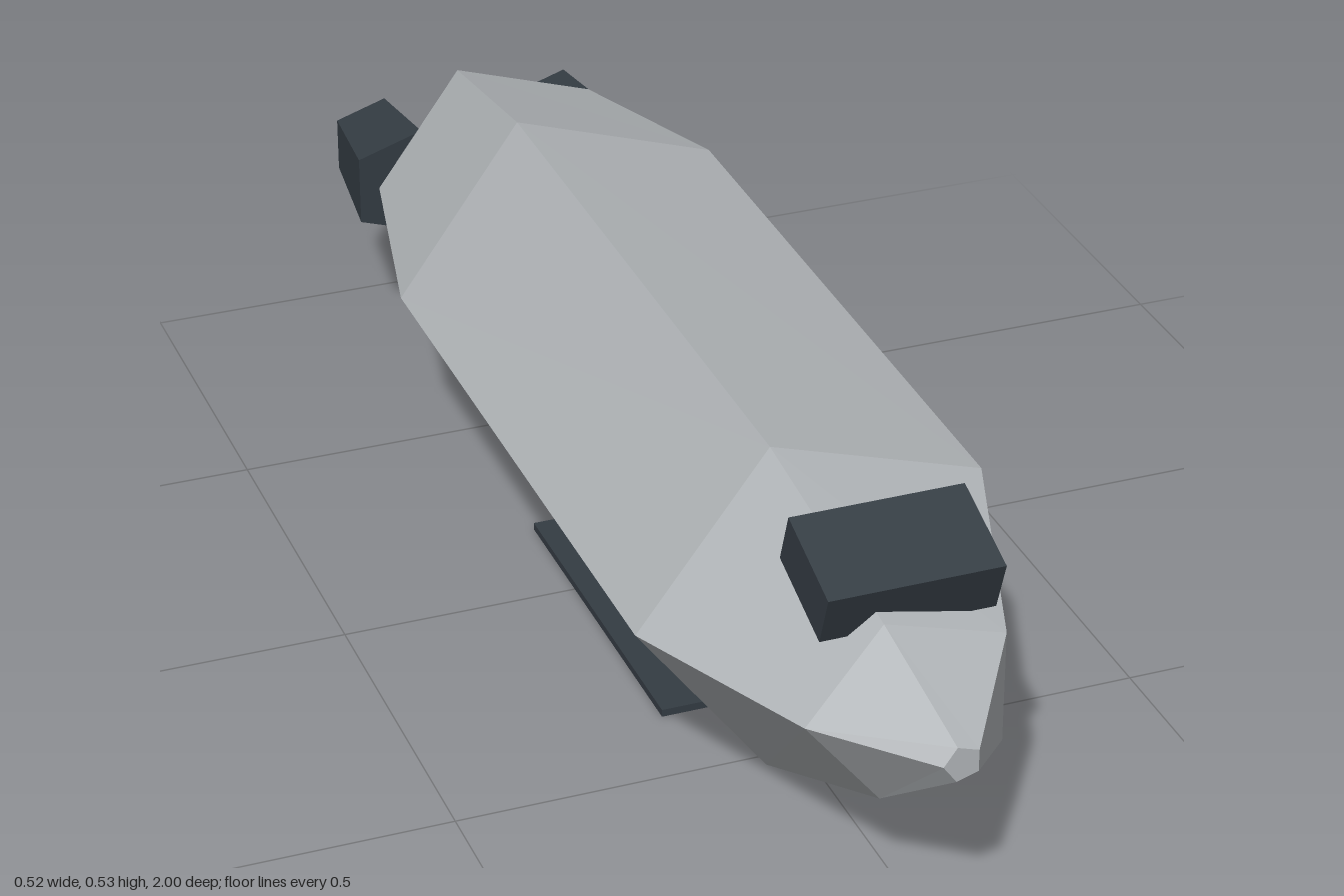
import * as THREE from 'three';

const mat = (name, color) => {
  const m = new THREE.MeshStandardMaterial({ color, flatShading: true });
  m.name = name;
  return m;
};

// Five-sided hull lofted through rings: [z, centre y, x radius, y radius]
function hullGeometry() {
  const rings = [
    [1.0, 0.285, 0.027, 0.027],
    [0.85, 0.281, 0.154, 0.14],
    [0.55, 0.27, 0.273, 0.262],
    [-0.46, 0.27, 0.273, 0.273],
    [-0.82, 0.27, 0.193, 0.191],
  ];
  const n = 5, cx = 0.013, pos = [], idx = [];
  for (const [z, cy, rx, ry] of rings) {
    for (let i = 0; i < n; i++) {
      const a = Math.PI + (i * 2 * Math.PI) / n;
      pos.push(cx + rx * Math.cos(a), cy + ry * Math.sin(a), z);
    }
  }
  const last = (rings.length - 1) * n;
  for (let r = 0; r < last; r += n) {
    for (let i = 0; i < n; i++) {
      const j = (i + 1) % n;
      idx.push(r + i, r + n + i, r + n + j, r + i, r + n + j, r + j);
    }
  }
  // flat nose and stern
  for (let i = 1; i < n - 1; i++) {
    idx.push(0, i, i + 1, last, last + i + 1, last + i);
  }
  const g = new THREE.BufferGeometry();
  g.setAttribute('position', new THREE.Float32BufferAttribute(pos, 3));
  g.setIndex(idx);
  const flat = g.toNonIndexed();
  flat.computeVertexNormals();
  return flat;
}

// Five-sided cone section along z, with one corner towards +x
function nozzleGeometry(rFront, rBack, length) {
  const g = new THREE.CylinderGeometry(rFront, rBack, length, 5);
  g.rotateY(-Math.PI / 2);
  g.rotateX(Math.PI / 2);
  // turn the corner to +x whichever way the cylinder starts
  const p = g.attributes.position;
  g.rotateZ(-Math.atan2(p.getY(0), p.getX(0)));
  return g;
}

export function createModel() {
  const model = new THREE.Group();
  const hullGrey = mat('hull grey', 0xb2b6b9);
  const darkSlate = mat('dark slate', 0x343c43);
  const glowGold = mat('engine gold', 0xbaa648);

  const add = (name, geometry, material, x, y, z, parent = model) => {
    const mesh = new THREE.Mesh(geometry, material);
    mesh.name = name;
    mesh.position.set(x, y, z);
    parent.add(mesh);
    return mesh;
  };

  add('hull', hullGeometry(), hullGrey, 0, 0, 0);

  // tilted bridge on the nose
  const bridge = add('bridge', new THREE.BoxGeometry(0.246, 0.08, 0.144), darkSlate, 0.014, 0.446, 0.762);
  bridge.rotation.x = 0.34;

  // belly plate
  add('bellyPlate', new THREE.BoxGeometry(0.33, 0.011, 0.54), darkSlate, 0.014, 0.0055, 0.09);

  // pair of engines
  for (const [side, x] of [['left', 0.166], ['right', -0.137]]) {
    const engine = new THREE.Group();
    engine.name = side + 'Engine';
    engine.position.set(x, 0.27, 0);
    model.add(engine);
    add('nozzle', nozzleGeometry(0.092, 0.071, 0.172), darkSlate, 0, 0, -0.906, engine);
    add('exhaust', nozzleGeometry(0.065, 0.065, 0.009), glowGold, 0, 0, -0.9955, engine);
  }
  return model;
}
